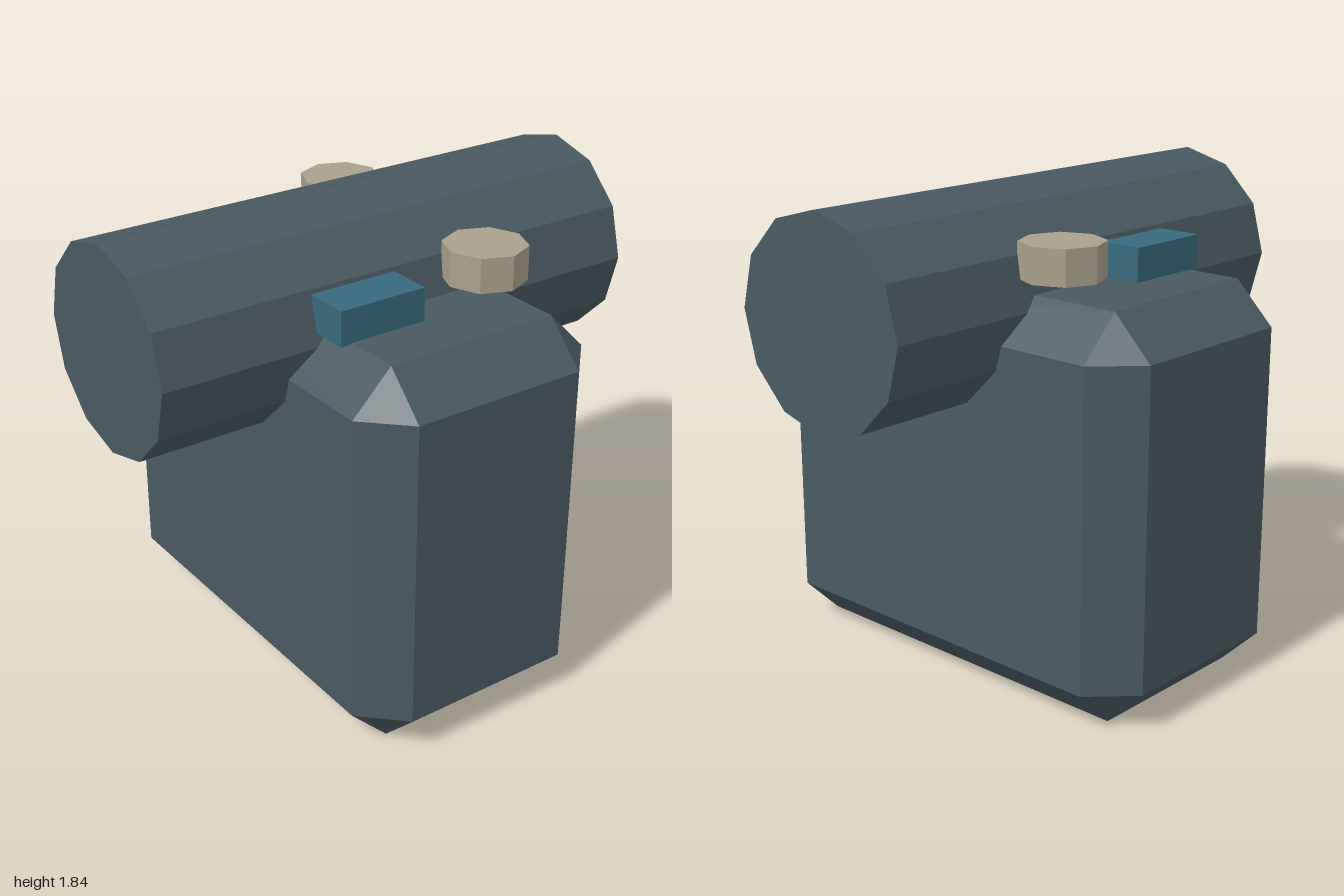
import * as THREE from 'three';
import { ConvexGeometry } from 'three/addons/geometries/ConvexGeometry.js';

const material = (color) => new THREE.MeshStandardMaterial({ color, flatShading: true });

// Box with every edge cut at 45 degrees and triangular corners
function chamferedBox(w, h, d, c) {
  const points = [];
  for (const x of [-w / 2, w / 2])
    for (const y of [-h / 2, h / 2])
      for (const z of [-d / 2, d / 2]) {
        const cx = Math.sign(x) * c, cy = Math.sign(y) * c, cz = Math.sign(z) * c;
        points.push(
          new THREE.Vector3(x, y - cy, z - cz),
          new THREE.Vector3(x - cx, y, z - cz),
          new THREE.Vector3(x - cx, y - cy, z)
        );
      }
  return new ConvexGeometry(points);
}

export function createModel() {
  const model = new THREE.Group();
  model.name = 'model';
  const slate = material(0x4a5a62);
  const teal = material(0x366a7e);
  const tan = material(0xaaa18c);

  const add = (name, geometry, mat, x, y, z) => {
    const mesh = new THREE.Mesh(geometry, mat);
    mesh.name = name;
    mesh.position.set(x, y, z);
    model.add(mesh);
    return mesh;
  };

  // Main block
  add('body', chamferedBox(1.77, 1.5, 1.0, 0.155), slate, 0, 0.75, 0);

  // Twelve-sided barrel running front to back through the top
  const barrel = new THREE.CylinderGeometry(0.388, 0.388, 2, 12).rotateX(Math.PI / 2);
  add('barrel', barrel, slate, 0, 1.447, 0);

  // Paired details beside the barrel
  for (const [side, s] of [['left', 1], ['right', -1]]) {
    add(`${side}Knob`, new THREE.CylinderGeometry(0.155, 0.155, 0.13, 8), tan, s * 0.443, 1.625, -0.28);
    add(`${side}Block`, new THREE.BoxGeometry(0.235, 0.13, 0.35), teal, s * 0.3975, 1.56, 0.217);
  }

  return model;
}
